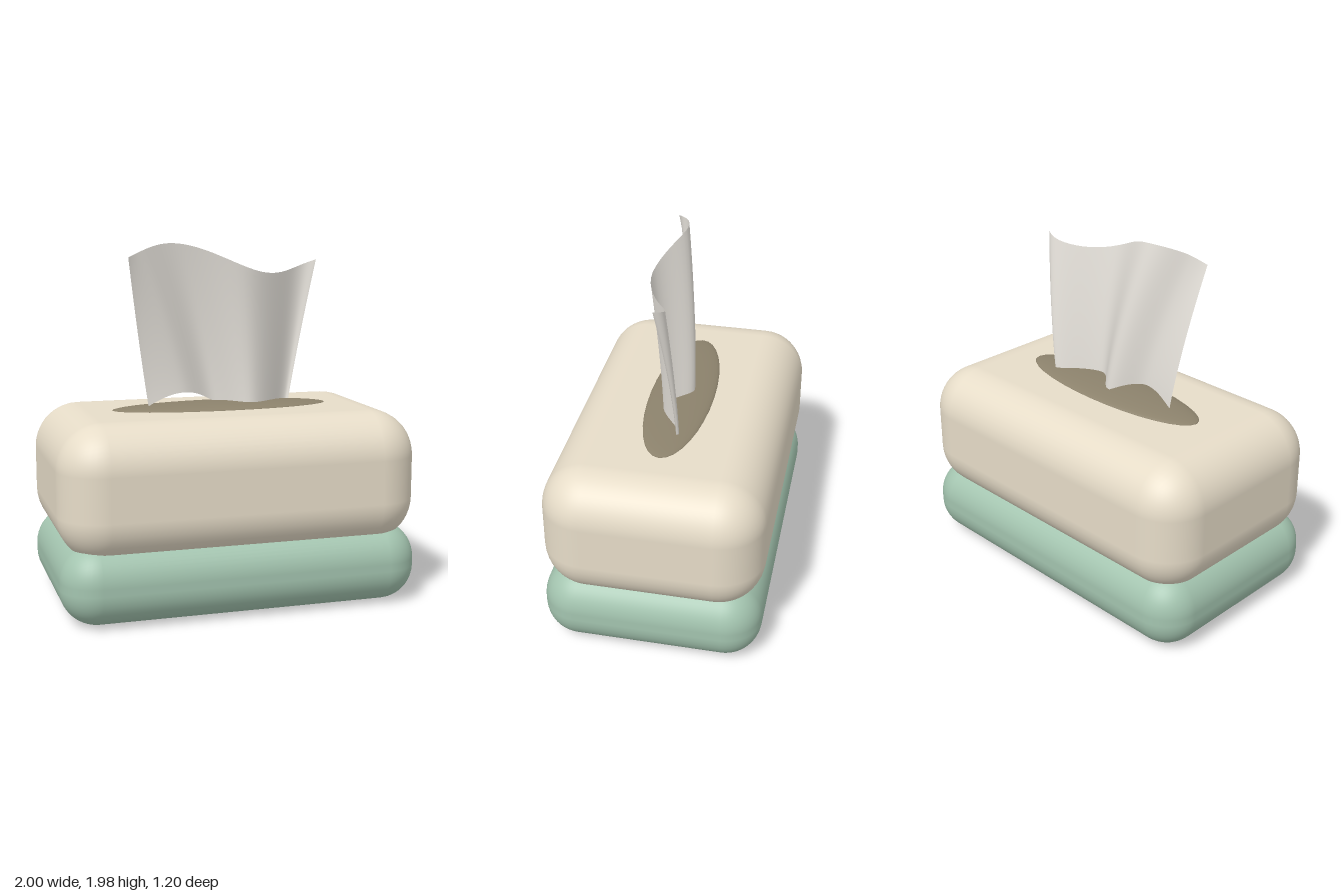
import * as THREE from 'three';
import { RoundedBoxGeometry } from 'three/addons/geometries/RoundedBoxGeometry.js';

const part = (name, geometry, color, side = THREE.FrontSide) => {
  const mesh = new THREE.Mesh(geometry, new THREE.MeshStandardMaterial({ color, side }));
  mesh.name = name;
  return mesh;
};

// Rounded block between two heights
function block(name, y0, y1, radius, color) {
  const mesh = part(name, new RoundedBoxGeometry(2, y1 - y0, 1.2, 6, radius), color);
  mesh.position.y = (y0 + y1) / 2;
  return mesh;
}

// Fold crests and valleys as (u, z), along the bottom and top edges of the sheet
const bottomFolds = [[-1, 0.01], [-0.53, 0.025], [-0.05, -0.065], [0.4, 0.07], [0.9, -0.055], [1, -0.05]];
const topFolds = [[-1, 0.13], [-0.85, 0.1], [-0.45, 0.02], [0.2, 0.145], [0.8, 0.0], [1, 0.04]];

// Flaring sheet: each row is a spline through folds blended from bottom to top
function tissueGeometry() {
  const cols = 48, rows = 24;
  const geometry = new THREE.PlaneGeometry(1, 1, cols, rows);
  const pos = geometry.attributes.position;
  for (let r = 0; r <= rows; r++) {
    const v = 1 - r / rows;
    const lean = Math.pow(v, 1.6);
    const row = new THREE.SplineCurve(bottomFolds.map(([u, z], i) => new THREE.Vector2(
      THREE.MathUtils.lerp(u, topFolds[i][0], v),
      THREE.MathUtils.lerp(z, topFolds[i][1], lean))));
    const halfWidth = 0.42 + 0.13 * v;
    row.getPoints(cols).forEach((p, c) => pos.setXYZ(
      r * (cols + 1) + c,
      p.x * halfWidth,
      1.075 + 0.825 * v - 0.083 * Math.sin(3 * p.x),
      p.y));
  }
  geometry.computeVertexNormals();
  return geometry;
}

export function createModel() {
  const group = new THREE.Group();
  group.name = 'tissueBox';

  // Two stacked soft blocks
  group.add(block('base', 0, 0.44, 0.2, 0xa3c4af));
  group.add(block('body', 0.33, 1.07, 0.25, 0xe6dcc8));

  // Shallow domed oval opening
  const opening = part('opening', new THREE.SphereGeometry(1, 32, 16), 0x8c826c);
  opening.scale.set(0.63, 0.03, 0.183);
  opening.position.y = 1.067;
  group.add(opening);

  // Sheet pulled up through the opening
  group.add(part('tissue', tissueGeometry(), 0xe8e4dd, THREE.DoubleSide));
  return group;
}
